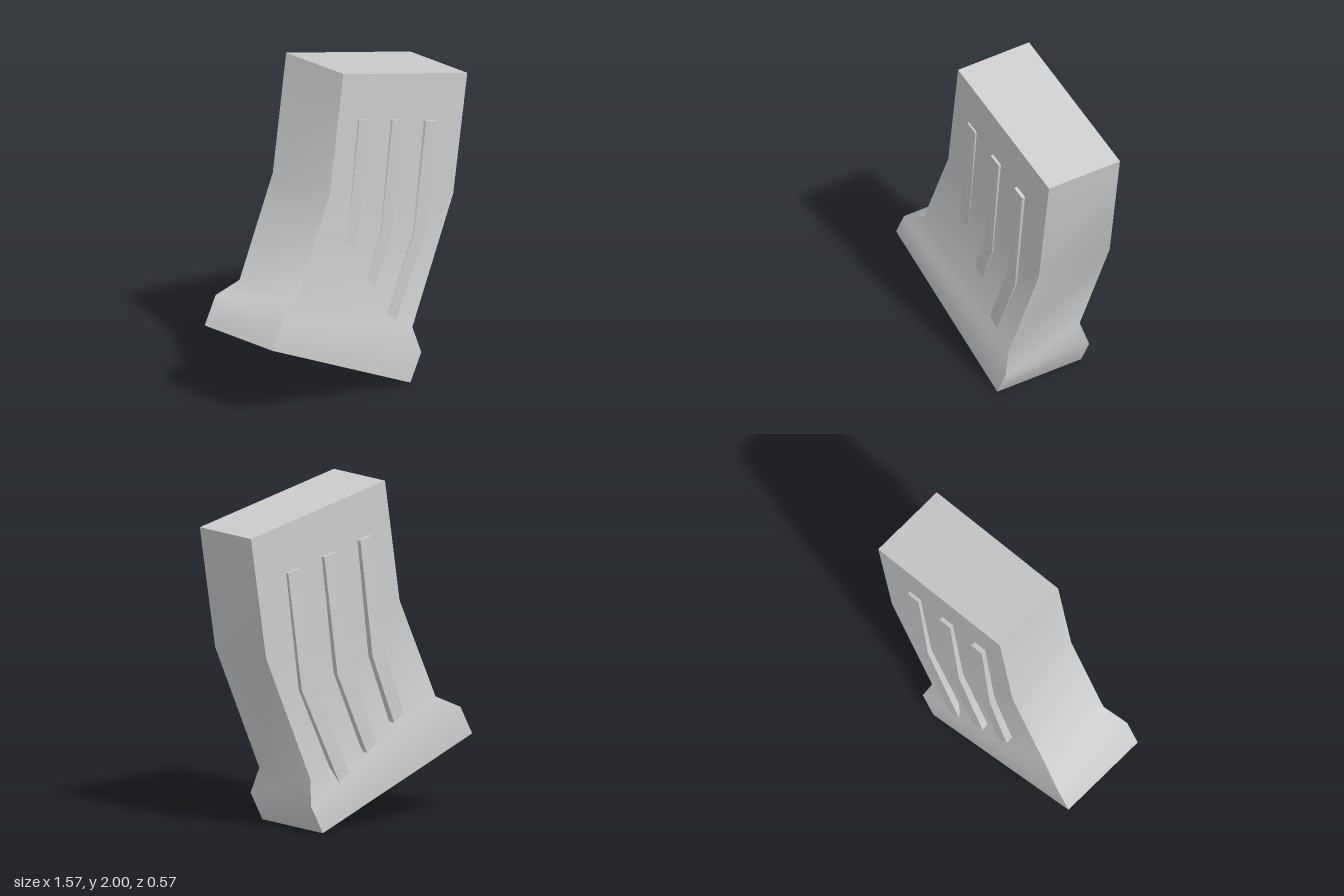
import * as THREE from 'three';
import { toCreasedNormals } from 'three/addons/utils/BufferGeometryUtils.js';

const material = new THREE.MeshStandardMaterial({ color: 0xcccccc });

// Closed solid through four-sided sections, listed from bottom to top.
// Each section is [leftX, leftY, rightX, rightY, frontZ, backZ].
function loft(name, sections, crease) {
  const points = [];
  const index = [0, 3, 2, 0, 2, 1];
  sections.forEach(([lx, ly, rx, ry, front, back], i) => {
    points.push(lx, ly, front, rx, ry, front, rx, ry, back, lx, ly, back);
    if (i === 0) return;
    for (let k = 0; k < 4; k++) {
      const n = (k + 1) % 4;
      const a = (i - 1) * 4 + k, b = (i - 1) * 4 + n;
      const c = i * 4 + n, d = i * 4 + k;
      index.push(a, b, c, a, c, d);
    }
  });
  const t = (sections.length - 1) * 4;
  index.push(t, t + 1, t + 2, t, t + 2, t + 3);

  const geometry = new THREE.BufferGeometry();
  geometry.setAttribute('position', new THREE.Float32BufferAttribute(points, 3));
  geometry.setIndex(index);
  const mesh = new THREE.Mesh(toCreasedNormals(geometry, crease), material);
  mesh.name = name;
  return mesh;
}

export function createModel() {
  const model = new THREE.Group();
  model.name = 'bentBlock';

  // Leaning block with a flared foot and a bend halfway up
  model.add(loft('body', [
    [-0.785, 0.465, 0.295, 0.0, 0.285, -0.288],
    [-0.70, 0.63, 0.38, 0.165, 0.285, -0.288],
    [-0.555, 0.70, 0.35, 0.315, 0.242, -0.242],
    [-0.295, 1.29, 0.67, 1.055, 0.242, -0.242],
    [-0.19, 2.0, 0.78, 1.765, 0.242, -0.242],
  ], 0.8));

  // Three bent bars run through the block and stand proud on both faces
  const ribs = new THREE.Group();
  ribs.name = 'ribs';
  for (let i = 0; i < 3; i++) {
    const dx = 0.2575 * i, dy = -0.0675 * i, dz = 0.005 * i;
    const footX = 0.195 * i, footY = -0.155 * i;
    ribs.add(loft(`rib${i + 1}`, [
      [-0.29 + footX, 0.64 + footY, -0.22 + footX, 0.59 + footY, 0.234 + dz / 2, -0.288 + dz / 2],
      [-0.15 + dx * 0.98, 1.04 + dy * 1.1, -0.07 + dx * 0.98, 0.99 + dy * 1.05, 0.244 + dz, -0.282 + dz],
      [-0.075 + dx, 1.695 + dy, 0.01 + dx, 1.675 + dy, 0.253 + dz, -0.271 + dz],
    ], 0.6));
  }
  model.add(ribs);
  return model;
}
